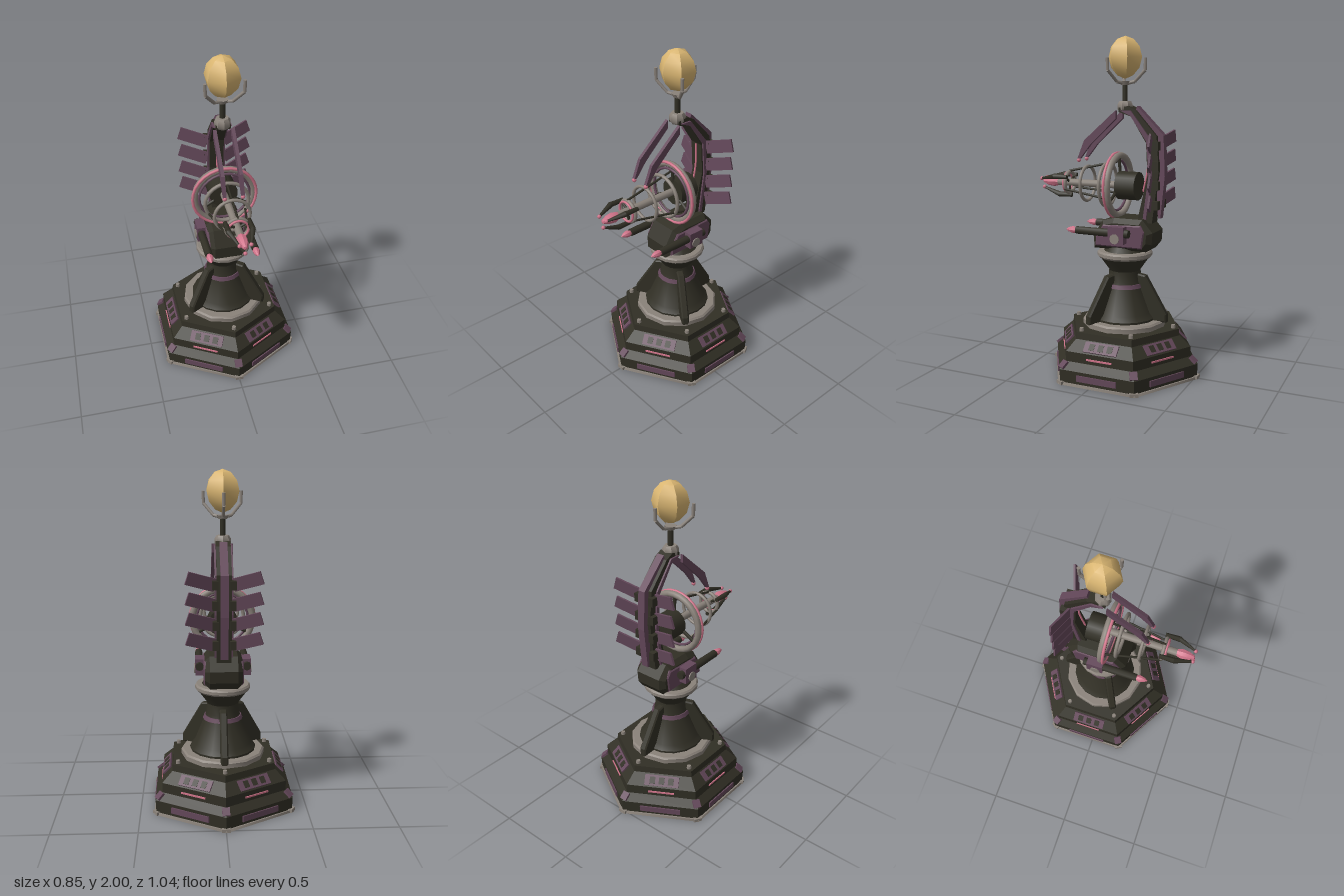
import * as THREE from 'three';
import { toCreasedNormals } from 'three/addons/utils/BufferGeometryUtils.js';

const V = (x, y, z) => new THREE.Vector3(x, y, z);
const mat = (name, color) => {
  const m = new THREE.MeshStandardMaterial({ color });
  m.name = name;
  return m;
};

export function createModel() {
  const dark = mat('dark hull', 0x312f25);
  const purple = mat('purple plating', 0x64485a);
  const pink = mat('pink glow', 0xd0748a);
  const gray = mat('gray metal', 0x8a827a);
  const gold = mat('gold orb', 0xdab672);

  const model = new THREE.Group();
  model.name = 'turretTower';
  const CZ = -0.045; // axis of the tower

  const group = (name, parent = model, z = 0) => {
    const g = new THREE.Group();
    g.name = name;
    g.position.z = z;
    parent.add(g);
    return g;
  };
  const add = (parent, name, geo, material, pos = [0, 0, 0], rot = [0, 0, 0]) => {
    const m = new THREE.Mesh(geo, material);
    m.name = name;
    m.position.set(...pos);
    m.rotation.set(...rot);
    parent.add(m);
    return m;
  };
  const box = (w, h, d) => new THREE.BoxGeometry(w, h, d);
  const lathe = (pts, seg, crease = 0.6) =>
    toCreasedNormals(new THREE.LatheGeometry(pts.map(p => new THREE.Vector2(...p)), seg), crease);
  // Side outline given as [z, y], extruded across x
  const slab = (pts, w, bevel = 0) => {
    const g = new THREE.ExtrudeGeometry(new THREE.Shape(pts.map(p => new THREE.Vector2(...p))), {
      depth: w - 2 * bevel, bevelEnabled: bevel > 0, bevelThickness: bevel,
      bevelSize: bevel, bevelOffset: -bevel, bevelSegments: 1 });
    return g.rotateY(-Math.PI / 2).translate(w / 2 - bevel, 0, 0);
  };
  const rod = (parent, name, a, b, r0, r1, material, seg = 8) => {
    const d = b.clone().sub(a);
    const m = add(parent, name, new THREE.CylinderGeometry(r1, r0, d.length(), seg), material);
    m.position.copy(a).addScaledVector(d, 0.5);
    m.quaternion.setFromUnitVectors(V(0, 1, 0), d.normalize());
  };

  // Hexagonal stepped base
  const base = group('base', model, CZ);
  add(base, 'footPlate', new THREE.CylinderGeometry(0.478, 0.482, 0.014, 6), [gray, gray, dark], [0, 0.007, 0]);
  add(base, 'baseTiers', lathe([[0, 0.012], [0.468, 0.012], [0.472, 0.09], [0.425, 0.13],
    [0.425, 0.19], [0.355, 0.25], [0.35, 0.29], [0, 0.295]], 6, 0.1), dark);
  for (let k = 0; k < 6; k++) {
    const side = group('baseSide', base);
    side.rotation.y = Math.PI / 6 + k * Math.PI / 3;
    add(side, 'lowerPanel', box(0.25, 0.036, 0.012), purple, [0, 0.052, 0.409]);
    add(side, 'lightStrip', box(0.16, 0.01, 0.008), pink, [0, 0.157, 0.37]);
    const vent = group('ventPanel', side);
    vent.position.set(0, 0.22, 0.338);
    vent.rotation.x = -0.77;
    add(vent, 'ventPlate', box(0.21, 0.066, 0.018), purple);
    for (const i of [-1, 0, 1])
      add(vent, 'ventWindow', box(0.034, 0.042, 0.006), dark, [i * 0.057, 0, 0.008]);

    const corner = group('baseCorner', base);
    corner.rotation.y = k * Math.PI / 3;
    add(corner, 'cornerClamp', box(0.045, 0.05, 0.014), purple, [0, 0.113, 0.444], [-0.85, 0, 0]);
    add(corner, 'cornerFoot', box(0.05, 0.02, 0.03), gray, [0, 0.01, 0.463]);
    add(corner, 'stud', new THREE.CylinderGeometry(0.013, 0.015, 0.02, 6), gray, [0, 0.3, 0.315]);
  }

  // Pedestal with three buttress fins
  const pedestal = group('pedestal', model, CZ);
  add(pedestal, 'baseRing', lathe([[0.19, 0.29], [0.255, 0.29], [0.255, 0.318], [0.245, 0.328], [0.19, 0.328]], 12), gray);
  add(pedestal, 'column', lathe([[0.2, 0.29], [0.2, 0.34], [0.175, 0.37], [0.115, 0.52], [0.1, 0.56],
    [0.095, 0.62], [0.115, 0.65], [0.155, 0.705], [0.13, 0.735], [0.1, 0.77], [0, 0.77]], 16), dark);
  add(pedestal, 'columnBand', lathe([[0.1, 0.52], [0.121, 0.52], [0.113, 0.543], [0.09, 0.543]], 16), purple);
  add(pedestal, 'topCollar', lathe([[0.12, 0.7], [0.155, 0.7], [0.167, 0.712], [0.167, 0.73], [0.158, 0.74], [0, 0.74]], 16), gray);
  for (const a of [1, -1, 3]) {
    const fin = add(pedestal, 'buttressFin',
      slab([[0.08, 0.32], [0.275, 0.32], [0.275, 0.37], [0.14, 0.595], [0.08, 0.605]], 0.045, 0.008), dark);
    fin.rotation.y = a * Math.PI / 3;
  }

  // Turret body and side guns
  const turret = group('turret');
  add(turret, 'turretBody', slab([[0.12, 0.755], [0.122, 0.83], [0.065, 0.925], [-0.01, 0.945], [-0.19, 0.945],
    [-0.255, 0.87], [-0.25, 0.8], [-0.215, 0.755]].reverse(), 0.22, 0.028), dark);
  add(turret, 'sidePlates', slab([[0.1, 0.775], [0.095, 0.83], [0.05, 0.905], [-0.19, 0.915], [-0.215, 0.875],
    [-0.2, 0.775]].reverse(), 0.234, 0.008), purple);
  for (const s of [-1, 1]) {
    const gun = group('sideGun', turret);
    add(gun, 'gunMount', box(0.06, 0.1, 0.1), purple, [s * 0.135, 0.855, -0.055]);
    add(gun, 'pivotCap', new THREE.CylinderGeometry(0.03, 0.03, 0.012, 10), gray, [s * 0.165, 0.835, -0.05], [0, 0, Math.PI / 2]);
    rod(gun, 'gunBarrel', V(s * 0.14, 0.865, -0.13), V(s * 0.14, 0.865, 0.21), 0.025, 0.023, dark);
    add(gun, 'gunTip', lathe([[0, 0], [0.014, 0], [0.022, 0.025], [0.014, 0.055], [0, 0.075]], 8), pink,
      [s * 0.14, 0.865, 0.205], [Math.PI / 2, 0, 0]);
  }

  // Ringed main cannon pointing forward
  const cannon = group('cannon');
  cannon.position.y = 1.13;
  const ring = (name, R, r, z, m) => add(cannon, name, new THREE.TorusGeometry(R, r, 8, 28), m, [0, 0, z]);
  ring('mainRing', 0.178, 0.02, -0.008, gray);
  ring('mainRingRim', 0.192, 0.009, 0.009, pink);
  ring('innerRing', 0.152, 0.008, 0.004, purple);
  ring('secondRing', 0.13, 0.011, 0.068, gray);
  ring('thirdRing', 0.105, 0.01, 0.203, gray);
  ring('fourthRing', 0.065, 0.011, 0.325, gray);
  ring('muzzleGlowRing', 0.06, 0.007, 0.34, pink);
  rod(cannon, 'drum', V(0, 0, -0.135), V(0, 0, -0.01), 0.085, 0.085, dark, 14);
  rod(cannon, 'barrel', V(0, 0, -0.02), V(0, 0, 0.41), 0.022, 0.022, gray, 10);
  add(cannon, 'barrelTip', lathe([[0, 0], [0.022, 0], [0.031, 0.03], [0.026, 0.07], [0.012, 0.105], [0, 0.11]], 8), pink,
    [0, 0, 0.4], [Math.PI / 2, 0, 0]);
  for (let k = 0; k < 3; k++) {
    const at = (a, r, z) => V(r * Math.cos(a), r * Math.sin(a), z);
    const a = Math.PI / 2 + k * 2 * Math.PI / 3, b = a + Math.PI;
    rod(cannon, 'ringStrut', at(a, 0.142, 0), at(a, 0.07, 0.33), 0.007, 0.007, dark, 6);
    rod(cannon, 'drumSpoke', at(a, 0.07, -0.012), at(a, 0.175, -0.008), 0.01, 0.01, dark, 6);
    rod(cannon, 'frontSpoke', at(b, 0.015, 0.325), at(b, 0.065, 0.325), 0.008, 0.008, dark, 6);
    rod(cannon, 'prongRoot', at(b, 0.078, 0.31), at(b, 0.078, 0.4), 0.013, 0.017, dark, 6);
    rod(cannon, 'prongClaw', at(b, 0.079, 0.395), at(b, 0.04, 0.5), 0.017, 0.007, dark, 6);
    add(cannon, 'prongTip', new THREE.SphereGeometry(0.012, 8, 6), pink, at(b, 0.038, 0.503).toArray());
  }

  // Curved spine with back plate, overhead claws and vanes
  const spine = group('spine');
  add(spine, 'spineArch', slab([[-0.02, 1.59], [-0.08, 1.6], [-0.13, 1.575], [-0.26, 1.43], [-0.275, 1.23], [-0.235, 0.92],
    [-0.14, 0.92], [-0.205, 1.2], [-0.195, 1.39], [-0.1, 1.54], [-0.02, 1.565]], 0.085), dark);
  add(spine, 'backPlate', slab([[-0.13, 1.6], [-0.295, 1.435], [-0.305, 1.2], [-0.28, 0.95], [-0.265, 0.95],
    [-0.25, 1.22], [-0.24, 1.42], [-0.12, 1.57]], 0.045), purple);
  const cable = new THREE.CatmullRomCurve3([V(0, 1.39, -0.192), V(0, 1.25, -0.192), V(0, 1.1, -0.162)]);
  add(spine, 'glowCable', new THREE.TubeGeometry(cable, 10, 0.006, 6), pink);
  for (const s of [-1, 1]) {
    const claw = add(spine, 'overheadClaw', slab([[-0.01, 1.575], [-0.01, 1.525], [0.155, 1.37], [0.222, 1.285],
      [0.24, 1.285], [0.195, 1.395]], 0.02), purple);
    claw.position.x = s * 0.052;
    add(spine, 'clawTip', new THREE.SphereGeometry(0.013, 8, 6), pink, [s * 0.052, 1.275, 0.235]);
    add(spine, 'spineEdge', slab([[-0.03, 1.575], [-0.1, 1.575], [-0.22, 1.42], [-0.235, 1.2], [-0.2, 0.94],
      [-0.18, 0.94], [-0.215, 1.2], [-0.2, 1.4], [-0.1, 1.545]], 0.012), purple).position.x = s * 0.047;
    for (let i = 0; i < 4; i++) {
      const y = 1.395 - i * 0.115;
      add(spine, 'vane', box(0.175, 0.075, 0.012), purple, [s * 0.13, y, -0.255], [-0.12, s * 0.28, s * 0.33]);
      add(spine, 'vaneMount', box(0.035, 0.05, 0.05), dark, [s * 0.05, y - 0.02, -0.255]);
    }
  }

  // Orb on its three-armed cradle
  const crown = group('crown', model, CZ);
  add(crown, 'crownCollar', lathe([[0, 1.565], [0.036, 1.565], [0.047, 1.58], [0.047, 1.61], [0.036, 1.628], [0, 1.628]], 8), gray);
  rod(crown, 'crownStem', V(0, 1.62, 0), V(0, 1.73, 0), 0.016, 0.016, dark);
  add(crown, 'cradleHub', new THREE.CylinderGeometry(0.035, 0.025, 0.022, 8), gray, [0, 1.732, 0]);
  for (const a of [1, -1, 3]) {
    const arm = group('cradleArm', crown);
    arm.rotation.y = a * Math.PI / 3;
    const p = [V(0, 1.73, 0.01), V(0, 1.74, 0.06), V(0, 1.805, 0.125), V(0, 1.875, 0.127)];
    for (let i = 0; i < 3; i++) rod(arm, 'armSegment', p[i], p[i + 1], 0.01, 0.01, gray, 6);
  }
  add(crown, 'orb', lathe([[0, 1.755], [0.05, 1.775], [0.09, 1.82], [0.106, 1.88], [0.09, 1.94],
    [0.052, 1.983], [0, 2]], 6, 0.6), gold);

  return model;
}
